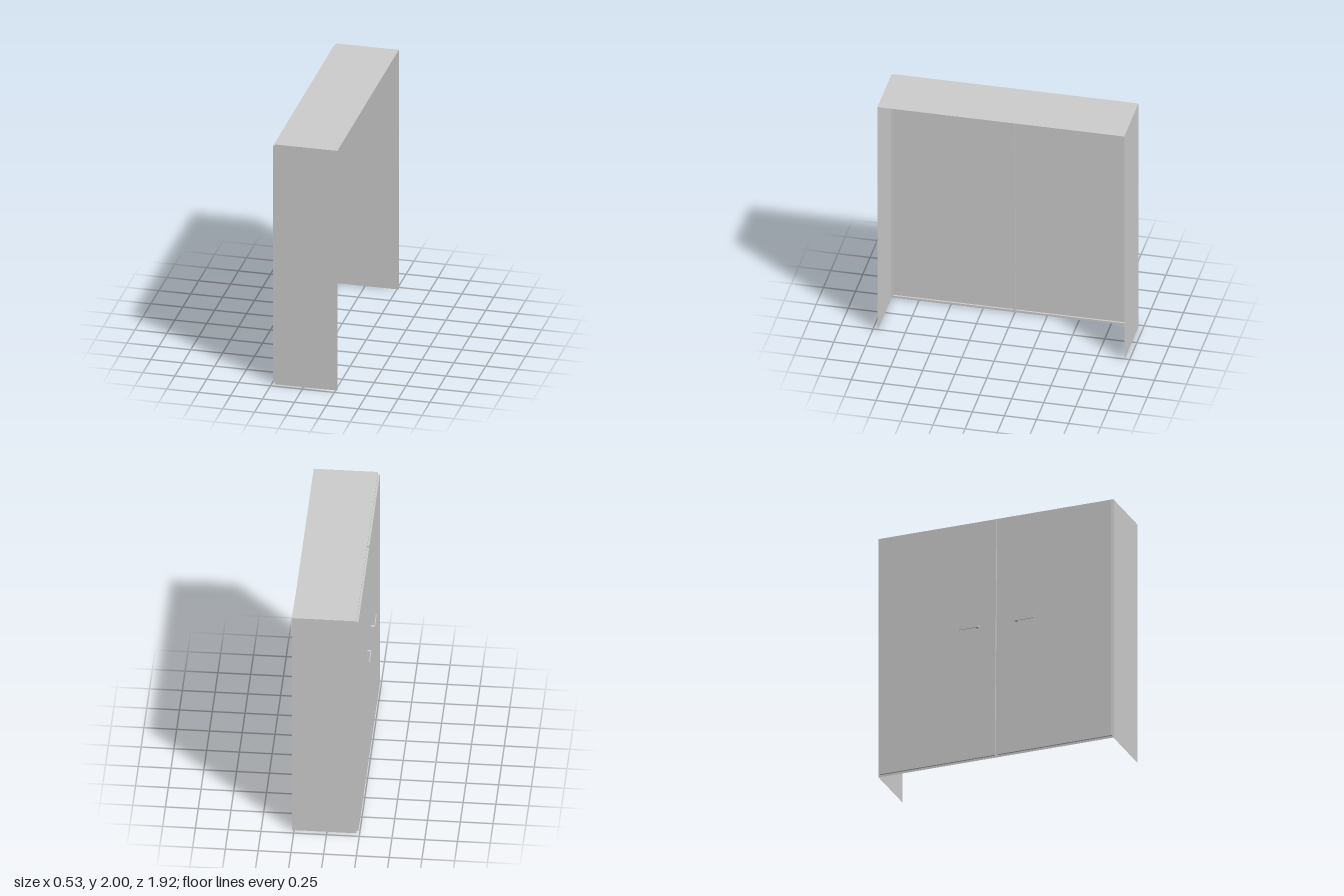
import * as THREE from 'three';

const X0 = -0.225, X1 = 0.265, DOOR_X = -0.24, Z = 0.962, H = 2;

// Door outlines as [z, y] corners; the inner edges lean slightly.
const DOORS = {
  leftDoor: [[0.018, 0.017], [0.953, 0.017], [0.953, 1.985], [0.03, 1.985]],
  rightDoor: [[-0.952, 0.017], [-0.004, 0.017], [0.01, 1.985], [-0.952, 1.985]],
};

const sheet = new THREE.MeshStandardMaterial({ color: 0xcccccc, side: THREE.DoubleSide });
const solid = new THREE.MeshStandardMaterial({ color: 0xcccccc });

function add(parent, name, geometry, material = sheet) {
  const mesh = new THREE.Mesh(geometry, material);
  mesh.name = name;
  parent.add(mesh);
  return mesh;
}

// Flat four-cornered panel, corners counter-clockwise seen from outside
function quad(a, b, c, d) {
  const g = new THREE.BufferGeometry();
  g.setAttribute('position', new THREE.Float32BufferAttribute([a, b, c, d].flat(), 3));
  g.setIndex([0, 1, 2, 0, 2, 3]);
  g.computeVertexNormals();
  return g;
}

const outline = (pts, Kind = THREE.Shape) => new Kind(pts.map(([z, y]) => new THREE.Vector2(z, y)));

// Shape drawn in (z, y), turned to face -x
const facing = (shape, x) => new THREE.ShapeGeometry(shape).rotateY(-Math.PI / 2).translate(x, 0, 0);

function box(parent, name, x0, x1, y0, y1, z0, z1) {
  const mesh = add(parent, name, new THREE.BoxGeometry(x1 - x0, y1 - y0, z1 - z0), solid);
  mesh.position.set((x0 + x1) / 2, (y0 + y1) / 2, (z0 + z1) / 2);
}

export function createModel() {
  const model = new THREE.Group();
  model.name = 'wardrobe';

  // Thin cabinet shell, open on +x and underneath
  add(model, 'topPanel', quad([X0, H, Z], [X1, H, Z], [X1, H, -Z], [X0, H, -Z]));
  add(model, 'frontSidePanel', quad([X0, 0, Z], [X1, 0, Z], [X1, H, Z], [X0, H, Z]));
  add(model, 'backSidePanel', quad([X1, 0, -Z], [X0, 0, -Z], [X0, H, -Z], [X1, H, -Z]));

  // Narrow frame around the two door openings
  const frame = outline([[-Z, 0], [Z, 0], [Z, H], [-Z, H]]);
  frame.holes = Object.values(DOORS).map((pts) => outline(pts, THREE.Path));
  add(model, 'doorFrame', facing(frame, X0));

  // Doors raised from the frame: face plus four rim strips
  for (const [name, pts] of Object.entries(DOORS)) {
    const door = new THREE.Group();
    door.name = name;
    add(door, 'doorFace', facing(outline(pts), DOOR_X));
    pts.forEach(([z, y], i) => {
      const [z2, y2] = pts[(i + 1) % 4];
      add(door, 'doorRim', quad([X0, y, z], [X0, y2, z2], [DOOR_X, y2, z2], [DOOR_X, y, z]));
    });
    model.add(door);
  }

  // L-shaped lever handles: post at the inner end, bar pointing outward
  for (const [name, z, dir] of [['leftHandle', 0.168, 1], ['rightHandle', -0.13, -1]]) {
    const handle = new THREE.Group();
    handle.name = name;
    const span = (length) => [z, z + dir * length].sort((a, b) => a - b);
    box(handle, 'handlePost', -0.263, DOOR_X, 1.102, 1.122, ...span(0.022));
    box(handle, 'handleBar', -0.27, -0.263, 1.1, 1.124, ...span(0.155));
    model.add(handle);
  }
  return model;
}
